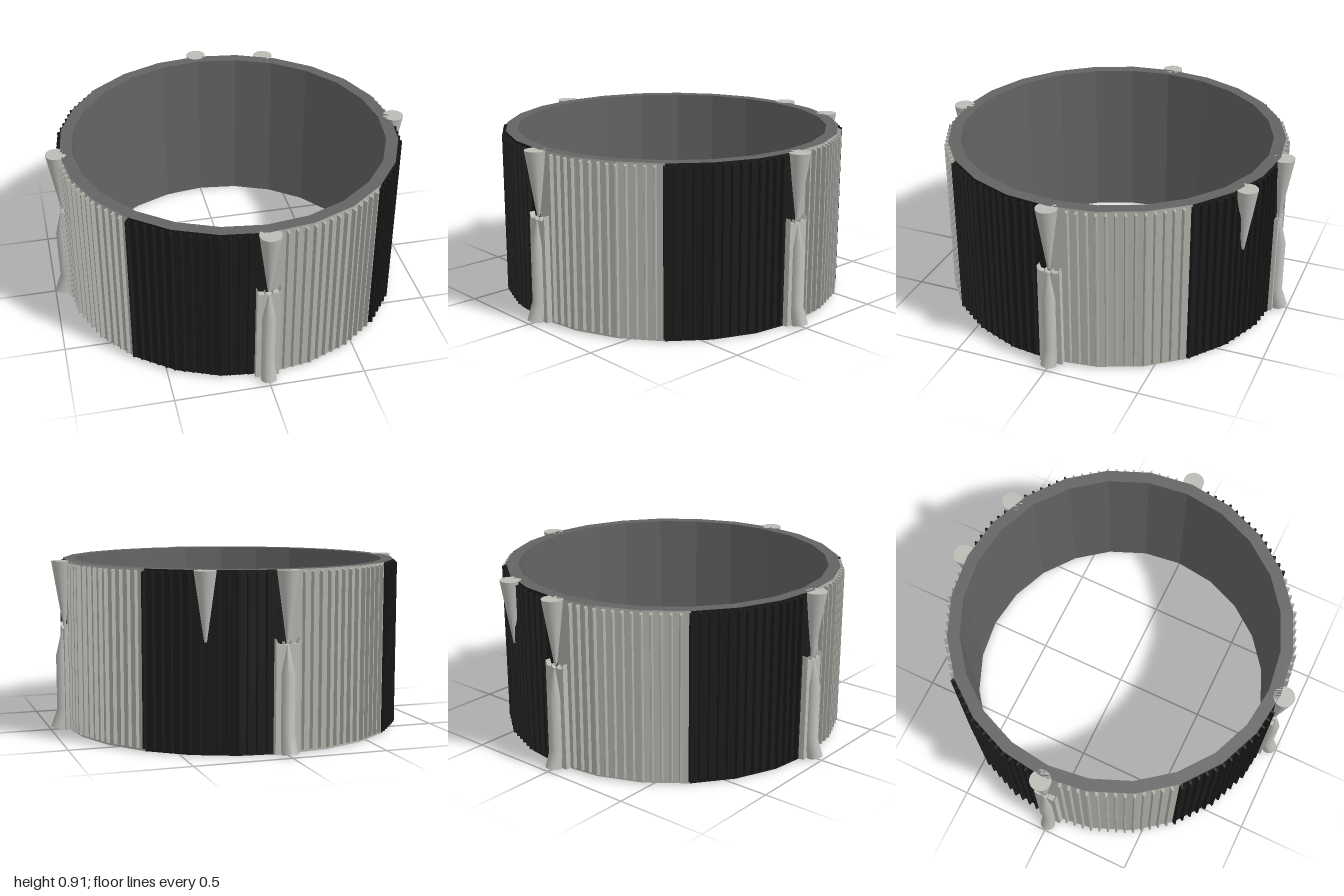
import * as THREE from 'three';
import { mergeGeometries, toCreasedNormals } from 'three/addons/utils/BufferGeometryUtils.js';

const H = 0.905, R = 0.905, R_IN = 0.84, SIDES = 24;
const rad = THREE.MathUtils.degToRad;

function colour(name, hex, double = false) {
  const m = new THREE.MeshStandardMaterial({ color: hex });
  m.name = name;
  if (double) m.side = THREE.DoubleSide;
  return m;
}

function lathe(points, segments, crease = 0.6) {
  const g = new THREE.LatheGeometry(points.map(([x, y]) => new THREE.Vector2(x, y)), segments);
  return toCreasedNormals(g, crease);
}

// Moves vertices by a rule, then restores normals
function warp(geometry, rule) {
  const p = geometry.attributes.position, v = new THREE.Vector3();
  for (let i = 0; i < p.count; i++) {
    rule(v.fromBufferAttribute(p, i));
    p.setXYZ(i, v.x, v.y, v.z);
  }
  return toCreasedNormals(geometry, 0.6);
}

// Small tapered stringer running up the wall at the given angle
function ribGeometry(deg) {
  const g = new THREE.BoxGeometry(0.02, H - 0.016, 0.03);
  warp(g, v => {
    if (v.z > 0) { v.x *= 0.4; v.y *= 0.982; }
  });
  const inFace = ((deg % 15) + 15) % 15 - 7.5;
  const wall = R * Math.cos(rad(7.5)) / Math.cos(rad(inFace));
  g.translate(0, H / 2, wall + 0.006);
  return g.rotateY(rad(deg));
}

// Tapered fairing hanging from the top rim
function topCone() {
  const g = lathe([[0, 0.56], [0.007, 0.56], [0.056, H], [0, H]], 20);
  return warp(g, v => { v.z += 0.917 + 0.008 * (v.y - 0.56) / 0.345; });
}

// Lower pipe leans outward at its nozzle and tilts its mouth
function leanPipe(g) {
  return warp(g, v => {
    const y = v.y, flare = Math.max(0, (0.11 - y) / 0.11);
    if (y < 0.08) v.y += 0.008 + v.z * 0.2;
    v.z += 0.93 + 0.028 * flare - 0.006 * Math.max(0, (y - 0.4) / 0.14);
  });
}

// Backing plate with a notched crown
function bracketGeometry() {
  const half = [[0.062, 0], [0.06, 0.57], [0.05, 0.545], [0.024, 0.542], [0.019, 0.558], [0.013, 0.54]];
  const pts = [...half, ...half.map(([x, y]) => [-x, y]).reverse()];
  const shape = new THREE.Shape(pts.map(([x, y]) => new THREE.Vector2(x, y)));
  const g = new THREE.ExtrudeGeometry(shape, { depth: 0.04, bevelEnabled: false });
  return g.translate(0, 0.003, 0.888);
}

export function createModel() {
  const root = new THREE.Group();
  root.name = 'ringSection';
  const grey = colour('innerGrey', 0x646464);
  const black = colour('panelBlack', 0x1b1b1b);
  const light = colour('panelLightGrey', 0xb2b2ac);
  const fitting = colour('fittingGrey', 0xbcbcb7);

  const add = (parent, name, geometry, material) => {
    const m = new THREE.Mesh(geometry, material);
    m.name = name;
    parent.add(m);
    return m;
  };

  // Inner wall with top and bottom rims
  add(root, 'innerRing', lathe([[R, H], [R_IN, H], [R_IN, 0], [R, 0]], SIDES, 0.1), grey);

  // Eight alternating outer panels with their ribs
  for (let s = 0; s < 8; s++) {
    const panel = new THREE.Group();
    panel.name = 'panel' + (s + 1);
    const mat = s % 2 ? black : light;
    const skin = new THREE.CylinderGeometry(R, R, H, SIDES / 8, 1, true, s * Math.PI / 4, Math.PI / 4);
    add(panel, 'outerSkin', toCreasedNormals(skin.translate(0, H / 2, 0), 0.1), mat);
    const ribs = [];
    for (let i = 0; i < 15; i++) {
      const deg = s * 45 + i * 3, off = deg % 90;
      if (off > 4 && off < 86) ribs.push(ribGeometry(deg));
    }
    add(panel, 'ribs', mergeGeometries(ribs), mat);
    root.add(panel);
  }

  // Four fittings, one on each quarter
  for (let q = 0; q < 4; q++) {
    const unit = new THREE.Group();
    unit.name = 'fitting' + (q + 1);
    add(unit, 'topCone', topCone(), fitting);
    add(unit, 'notchedBracket', bracketGeometry(), fitting);
    const pipe = [[0.034, 0], [0.041, 0], [0.035, 0.11], [0.035, 0.4], [0.007, 0.54], [0, 0.54]];
    add(unit, 'lowerPipe', leanPipe(lathe(pipe, 16)), fitting);
    add(unit, 'nozzleMouth', leanPipe(lathe([[0, 0.05], [0.034, 0]], 16)), black);
    unit.rotation.y = q * Math.PI / 2;
    root.add(unit);
  }

  // Single extra cone at the back
  add(root, 'extraCone', topCone(), fitting).rotation.y = rad(155);
  return root;
}
